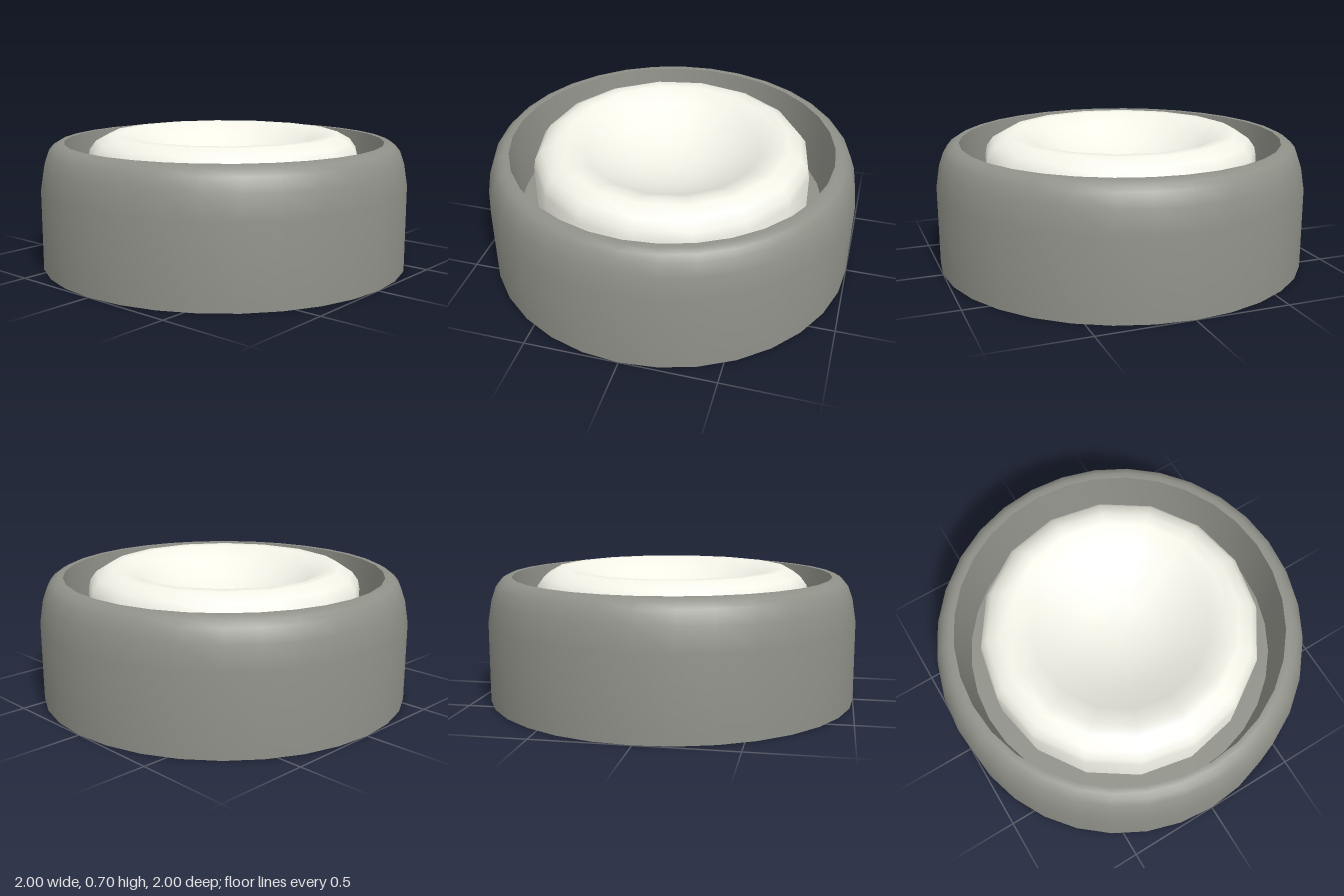
import * as THREE from 'three';
import { toCreasedNormals } from 'three/addons/utils/BufferGeometryUtils.js';

// Turned part from a [radius, height] profile, running from the underside outwards and up
function turned(name, profile, sides, color) {
  const points = profile.map(([r, y]) => new THREE.Vector2(r, y));
  const geometry = toCreasedNormals(new THREE.LatheGeometry(points, sides), THREE.MathUtils.degToRad(52));
  const mesh = new THREE.Mesh(geometry, new THREE.MeshStandardMaterial({ color }));
  mesh.name = name;
  return mesh;
}

export function createModel() {
  const group = new THREE.Group();
  group.name = 'pushButton';

  // Round housing: flat base, rounded shoulder, tapered well and its floor
  group.add(turned('housing', [
    [0, 0], [1, 0], [1, 0.43], [0.98, 0.55], [0.955, 0.62], [0.93, 0.65], [0.9, 0.667],
    [0.87, 0.667], [0.83, 0.33], [0, 0.33],
  ], 32, 0x8f9088));

  // Cap: straight side, rounded rim and dished top
  group.add(turned('buttonCap', [
    [0.745, 0.32], [0.745, 0.57], [0.735, 0.62], [0.7, 0.667], [0.63, 0.705],
    [0.57, 0.705], [0.47, 0.655], [0.35, 0.58], [0.18, 0.52], [0, 0.5],
  ], 16, 0xf3f3e8));

  return group;
}
